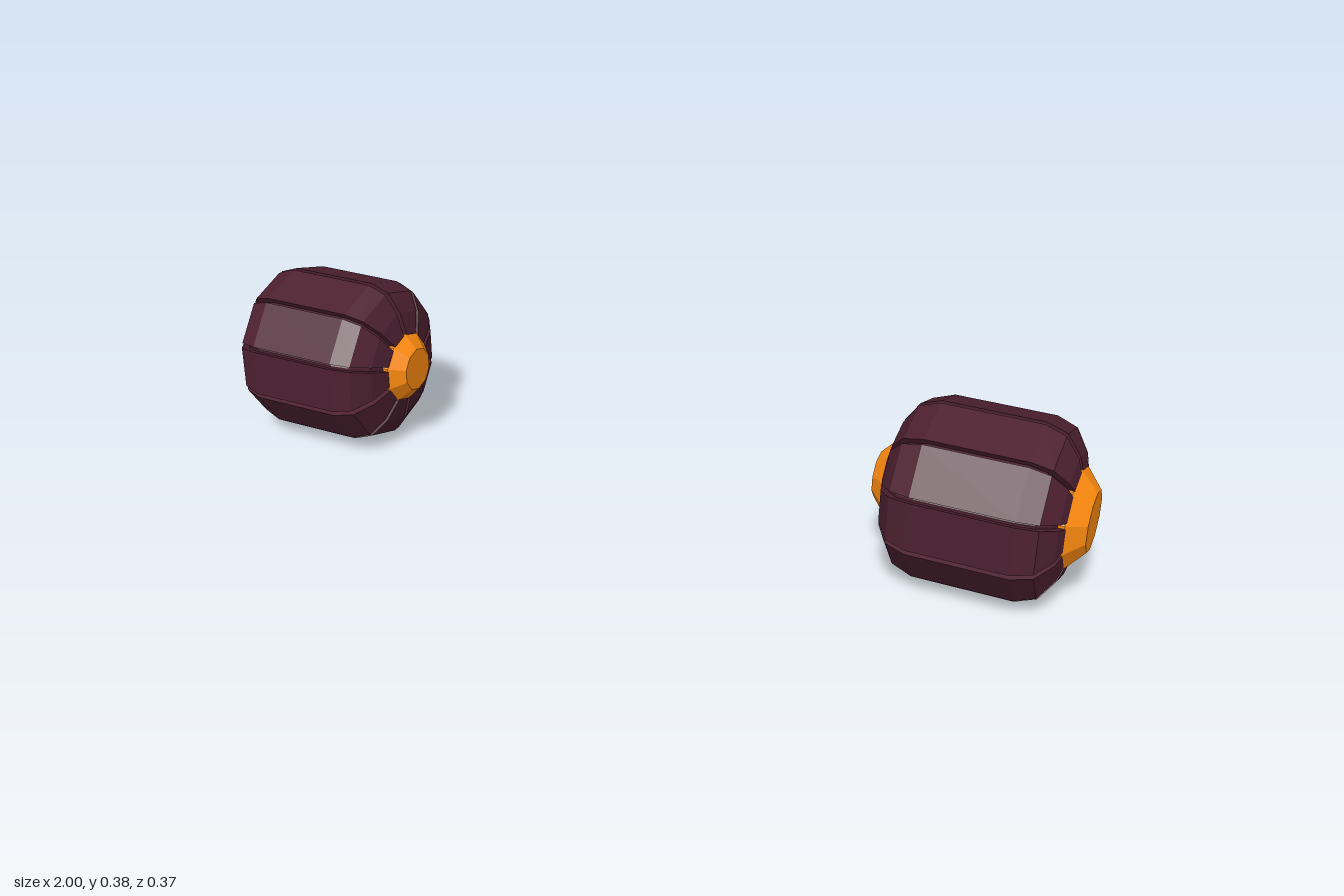
import * as THREE from 'three';

const SIDES = 10;
const STEP = (Math.PI * 2) / SIDES;
const COS = Math.cos(STEP / 2), TAN = Math.tan(STEP / 2);
const GAP = 0.006; // half the groove width

const shell = new THREE.MeshStandardMaterial({ color: 0x4d2030, flatShading: true });
const orange = new THREE.MeshStandardMaterial({ color: 0xff8c10, flatShading: true });

// [distance along axle, apothem] of the panels and of the core below them
const half = [[0.105, 0.183], [0.148, 0.168], [0.177, 0.127], [0.191, 0.08], [0.192, 0.055]];
const mirrored = (p) => [...p.map(([x, r]) => [-x, r]).reverse(), ...p];
const outer = mirrored(half);
const inner = mirrored([[0.1, 0.168], [0.138, 0.154], [0.165, 0.117], [0.178, 0.075], [0.179, 0.04]]);

// One panel: four-cornered sections lofted along the axle
function panelGeometry() {
  const pos = [], index = [];
  outer.forEach(([x, r], i) => {
    const [xi, ri] = inner[i];
    const w = r * TAN - GAP, wi = Math.max(ri * TAN - GAP, 0.004);
    pos.push(x, r, w, x, r, -w, xi, ri, -wi, xi, ri, wi);
  });
  const n = outer.length;
  for (let i = 0; i < n - 1; i++) {
    for (let k = 0; k < 4; k++) {
      const a = i * 4 + k, b = i * 4 + (k + 1) % 4;
      index.push(a, a + 4, b, b, a + 4, b + 4);
    }
  }
  const e = (n - 1) * 4;
  index.push(0, 1, 2, 0, 2, 3, e, e + 2, e + 1, e, e + 3, e + 2);
  const g = new THREE.BufferGeometry();
  g.setAttribute('position', new THREE.Float32BufferAttribute(pos, 3));
  g.setIndex(index);
  g.computeVertexNormals();
  return g;
}

function mesh(name, geometry, material) {
  const m = new THREE.Mesh(geometry, material);
  m.name = name;
  return m;
}

// Ten-sided tapered cap along x, from x0 (radius r0) to x1 (radius r1)
function hub(name, x0, r0, x1, r1) {
  const g = new THREE.CylinderGeometry(r1, r0, Math.abs(x1 - x0), SIDES, 1, false, Math.PI / 2);
  g.rotateZ(x1 > x0 ? -Math.PI / 2 : Math.PI / 2);
  g.translate((x0 + x1) / 2, 0, 0);
  return mesh(name, g, orange);
}

// Wheel whose outward side points to +x
function wheel(name) {
  const group = new THREE.Group();
  group.name = name;

  const points = inner.map(([x, r]) => new THREE.Vector2(r / COS, x));
  const core = new THREE.LatheGeometry(points, SIDES, Math.PI / 2);
  core.rotateZ(-Math.PI / 2);
  group.add(mesh('core', core, shell));

  const panel = panelGeometry();
  for (let i = 0; i < SIDES; i++) {
    const p = mesh('treadPanel', panel, shell);
    p.rotation.x = (i + 0.5) * STEP;
    group.add(p);
  }

  group.add(hub('outerHub', 0.183, 0.107, 0.22, 0.064));
  group.add(hub('outerHubBase', 0.14, 0.107, 0.183, 0.107));
  group.add(hub('innerHub', -0.19, 0.082, -0.22, 0.05));
  group.add(hub('innerHubBase', -0.15, 0.082, -0.19, 0.082));
  return group;
}

export function createModel() {
  const model = new THREE.Group();
  model.name = 'wheelPair';
  const left = wheel('leftWheel');
  left.position.set(0.78, 0.192, 0);
  const right = wheel('rightWheel');
  right.position.set(-0.78, 0.192, 0);
  right.rotation.y = Math.PI;
  model.add(left, right);
  return model;
}
